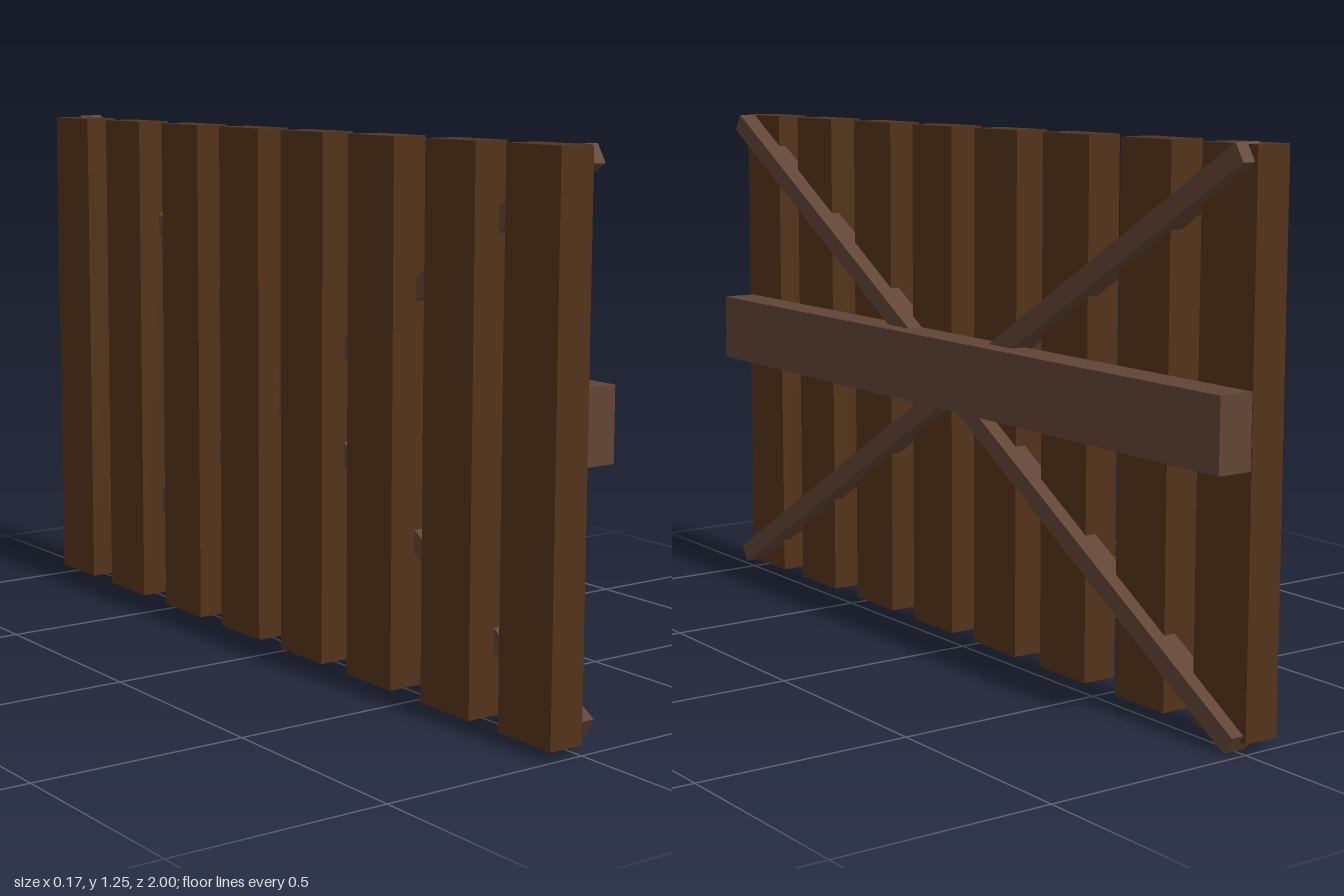
import * as THREE from 'three';

const plankWood = new THREE.MeshStandardMaterial({ color: 0x523319, flatShading: true });
const railWood = new THREE.MeshStandardMaterial({ color: 0x604435, flatShading: true });

// Rectangular timber running between two points
function beam(name, from, to, width, height, material) {
  const a = new THREE.Vector3(...from);
  const b = new THREE.Vector3(...to);
  const mesh = new THREE.Mesh(new THREE.BoxGeometry(width, height, a.distanceTo(b)), material);
  mesh.name = name;
  mesh.position.copy(a).add(b).multiplyScalar(0.5);
  mesh.lookAt(b);
  return mesh;
}

export function createModel() {
  const fence = new THREE.Group();
  fence.name = 'fencePanel';

  // Upright planks, mirrored about the middle
  const planks = new THREE.Group();
  planks.name = 'planks';
  const plankGeometry = new THREE.BoxGeometry(0.085, 1.22, 0.164);
  for (const z of [0.128, 0.388, 0.659, 0.918]) {
    for (const side of [1, -1]) {
      const plank = new THREE.Mesh(plankGeometry, plankWood);
      plank.name = 'plank';
      plank.position.set(-0.0425, 0.635, side * z);
      planks.add(plank);
    }
  }
  fence.add(planks);

  // Thick cross rail, very slightly tilted
  fence.add(beam('crossRail', [0.0425, 0.674, -0.998], [0.0425, 0.679, 0.985], 0.085, 0.163, railWood));

  // Crossed diagonal braces, partly sunk into the planks
  fence.add(beam('fallingBrace', [0, 0.022, -0.98], [0.013, 1.226, 0.975], 0.062, 0.046, railWood));
  fence.add(beam('risingBrace', [0, 1.23, -0.98], [0.013, 0.049, 0.975], 0.062, 0.046, railWood));

  return fence;
}
